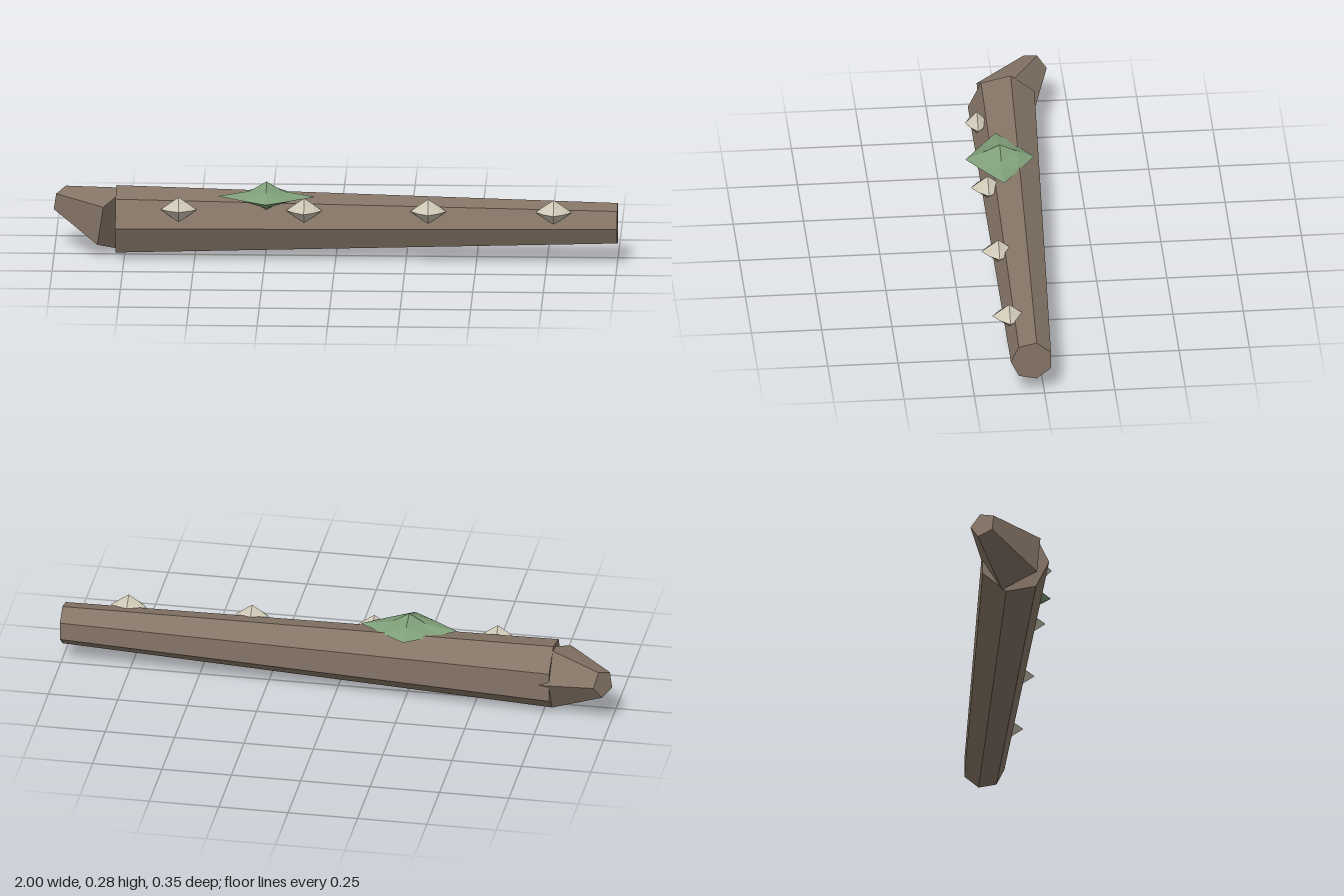
import * as THREE from 'three';

const V = (x, y, z) => new THREE.Vector3(x, y, z);
const material = (color) => new THREE.MeshStandardMaterial({ color, flatShading: true });

// Tapered prism between two centres; one corner points along `corner`, caps are square to `normal`
function limb(from, to, rFrom, rTo, sides, corner, normal) {
  const geometry = new THREE.CylinderGeometry(rTo, rFrom, 1, sides).toNonIndexed();
  const side = normal.clone().cross(corner).normalize();
  const pos = geometry.attributes.position;
  for (let i = 0; i < pos.count; i++) {
    const p = V().lerpVectors(from, to, pos.getY(i) + 0.5)
      .addScaledVector(side, pos.getX(i))
      .addScaledVector(corner, pos.getZ(i));
    pos.setXYZ(i, p.x, p.y, p.z);
  }
  geometry.computeVertexNormals();
  return geometry;
}

// Six-pointed clump: subdivided octahedron whose edge midpoints are pulled inward
function clump(rx, ry, rz, pullXY, pullYZ, pullXZ) {
  const geometry = new THREE.OctahedronGeometry(1, 1);
  const pos = geometry.attributes.position;
  for (let i = 0; i < pos.count; i++) {
    const p = V().fromBufferAttribute(pos, i);
    const flat = p.toArray().map((c) => Math.abs(c) < 0.01);
    if (flat.filter(Boolean).length === 1) {
      p.multiplyScalar(flat[2] ? pullXY : flat[0] ? pullYZ : pullXZ);
    }
    pos.setXYZ(i, p.x * rx, p.y * ry, p.z * rz);
  }
  geometry.computeVertexNormals();
  return geometry;
}

export function createModel() {
  const model = new THREE.Group();
  const bark = material(0x857566);
  const leaf = material(0x7f9f79);
  const fungus = material(0xcfc8b6);

  const add = (name, geometry, mat, x = 0, y = 0, z = 0) => {
    const mesh = new THREE.Mesh(geometry, mat);
    mesh.name = name;
    mesh.position.set(x, y, z);
    model.add(mesh);
  };

  // Seven-sided trunk tapering toward +x
  const butt = V(-0.78, 0.124, -0.005);
  add('trunk', limb(butt, V(1, 0.137, 0.045), 0.1247, 0.075, 7, V(0, 0, 1), V(1, 0, 0)), bark);

  // Five-sided branch stub leaving the thick end
  const tip = V(-0.978, 0.167, -0.134);
  const along = tip.clone().sub(butt).normalize();
  const corner = V(-along.z, 0, along.x).normalize();
  add('branchStub', limb(butt, tip, 0.122, 0.05, 5, corner, along), bark);

  // Moss patch on top
  add('mossPatch', clump(0.173, 0.055, 0.122, 0.5, 0.7, 0.72), leaf, -0.245, 0.23, 0.052);

  // Row of fungus buds along the front
  [-0.555, -0.11, 0.33, 0.775].forEach((x, i) => {
    const depth = i === 0 ? 0.042 : 0.06;
    add('fungusBud' + (i + 1), clump(0.064, 0.045, depth, 0.72, 0.7, 0.8), fungus, x, 0.194, 0.107);
  });

  return model;
}
